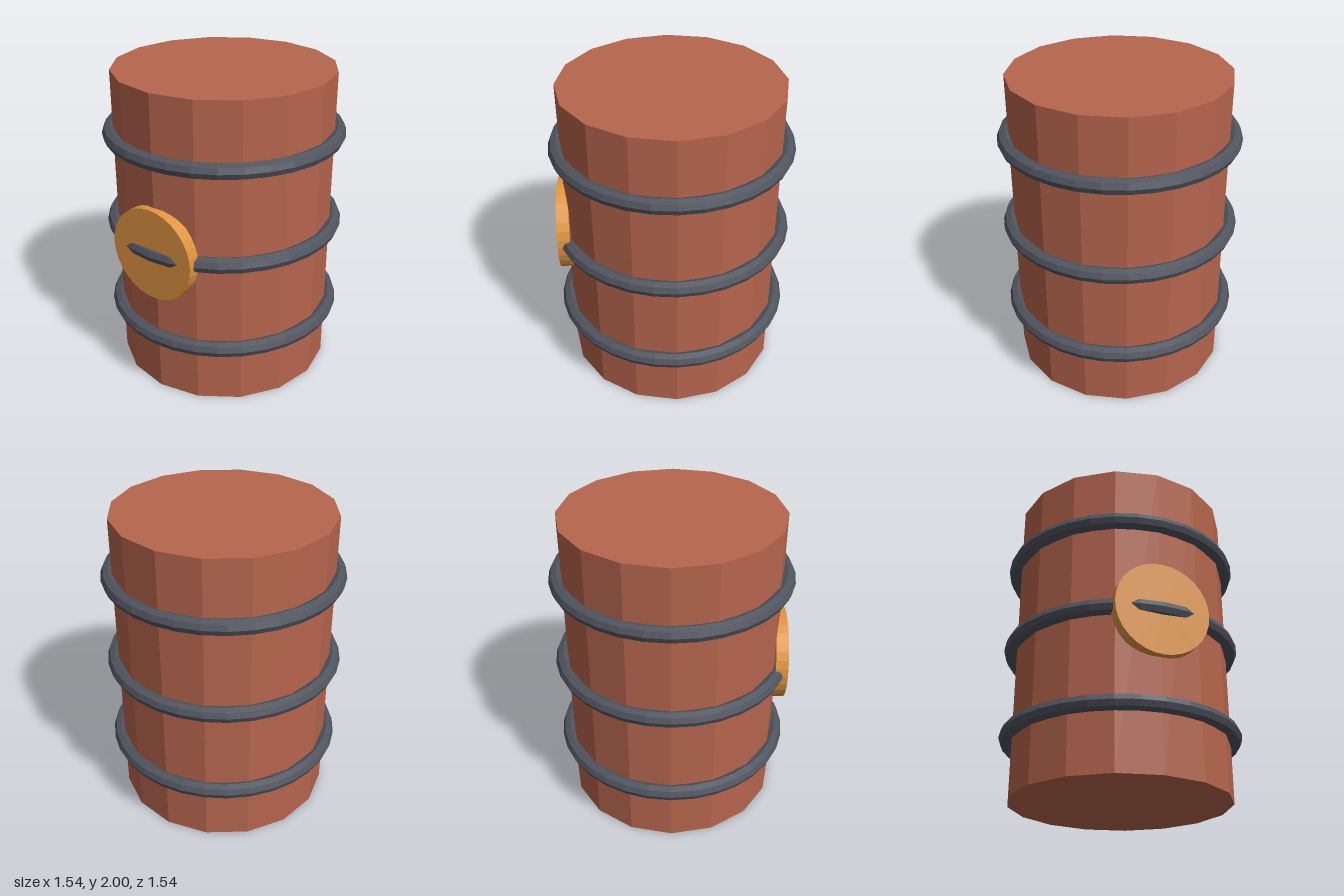
import * as THREE from 'three';

export function createModel() {
  const model = new THREE.Group();
  const add = (name, geometry, color) => {
    const material = new THREE.MeshStandardMaterial({ color, flatShading: true });
    const mesh = new THREE.Mesh(geometry, material);
    mesh.name = name;
    model.add(mesh);
    return mesh;
  };

  // Sixteen-sided barrel body
  add('barrelBody', new THREE.CylinderGeometry(0.7, 0.7, 2, 16), 0xb5654d).position.y = 1;

  // Three hoops around the body
  ['lowerHoop', 'middleHoop', 'upperHoop'].forEach((name, i) => {
    const hoop = add(name, new THREE.TorusGeometry(0.72, 0.05, 8, 32), 0x50545e);
    hoop.rotation.x = Math.PI / 2;
    hoop.position.y = 0.4 + 0.6 * i;
  });

  // Round plate on the front, with the middle hoop showing through it
  const plate = add('frontPlate', new THREE.CylinderGeometry(0.3, 0.3, 0.08, 32), 0xe09442);
  plate.rotation.x = Math.PI / 2;
  plate.position.set(0, 1, 0.7);

  return model;
}
